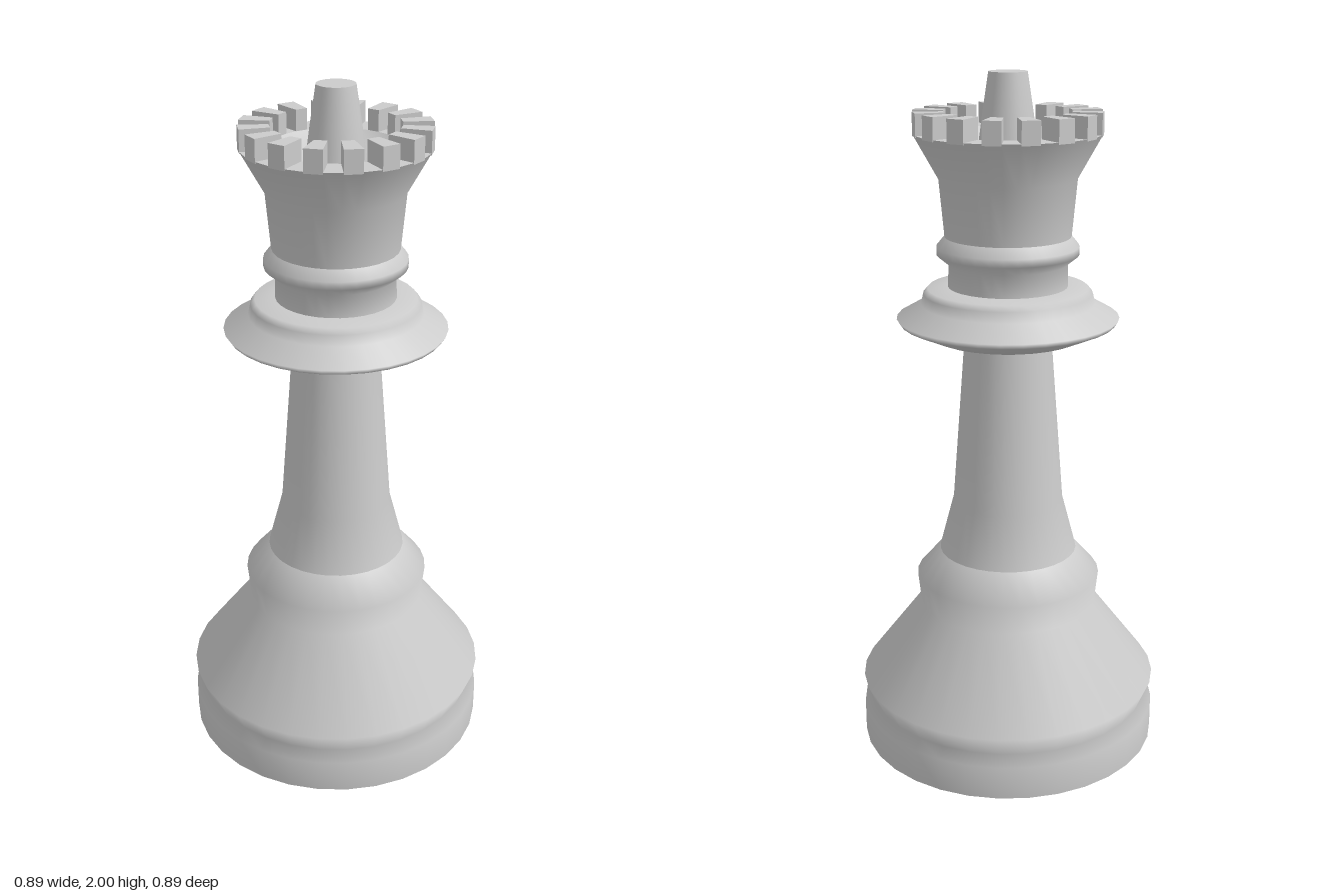
import * as THREE from 'three';

const SIDES = 32;
const TEETH = 16;

export function createModel() {
  const group = new THREE.Group();
  const material = new THREE.MeshStandardMaterial({ color: 0xcccccc });

  const add = (name, geometry, parent = group) => {
    const mesh = new THREE.Mesh(geometry, material);
    mesh.name = name;
    parent.add(mesh);
    return mesh;
  };
  // Turned part from [radius, height] pairs
  const turned = (name, profile) =>
    add(name, new THREE.LatheGeometry(profile.map(([r, y]) => new THREE.Vector2(r, y)), SIDES));

  // Foot: flat underside, plinth, groove and flared bell
  turned('underside', [[0, 0], [0.447, 0]]);
  turned('base', [
    [0.447, 0], [0.447, 0.1], [0.422, 0.13], [0.447, 0.19],
    [0.265, 0.43], [0.275, 0.52], [0.205, 0.6],
  ]);

  // Tapering stem
  turned('stem', [[0.205, 0.6], [0.163, 0.76], [0.127, 1.24]]);

  // Wide collar with a stepped top
  turned('collar', [
    [0.127, 1.24], [0.16, 1.243], [0.22, 1.26], [0.31, 1.3], [0.32, 1.315],
    [0.25, 1.355], [0.243, 1.385], [0.23, 1.4], [0.172, 1.405],
  ]);

  // Neck with a raised bead
  turned('neckBead', [
    [0.172, 1.405], [0.17, 1.47], [0.203, 1.497], [0.203, 1.52], [0.18, 1.548],
  ]);

  // Flaring crown, its rim and the bowl inside
  turned('crown', [[0.18, 1.548], [0.195, 1.71], [0.265, 1.835]]);
  turned('crownRim', [[0.265, 1.835], [0.18, 1.835]]);
  turned('crownBowl', [[0.18, 1.835], [0.14, 1.8], [0.085, 1.785]]);

  // Teeth: wedge blocks on every other side of the rim
  const teeth = new THREE.Group();
  teeth.name = 'crownTeeth';
  group.add(teeth);
  const step = (Math.PI * 2) / TEETH;
  for (let i = 0; i < TEETH; i++) {
    const tooth = new THREE.BoxGeometry(1, 1, 1);
    const p = tooth.attributes.position;
    for (let v = 0; v < p.count; v++) {
      const r = p.getX(v) > 0 ? 0.265 : 0.18;
      const y = p.getY(v) > 0 ? 1.895 : 1.83;
      const a = i * step + (p.getZ(v) > 0 ? 0 : -step / 2);
      p.setXYZ(v, r * Math.cos(a), y, r * Math.sin(a));
    }
    tooth.computeVertexNormals();
    add('crownTooth', tooth, teeth);
  }

  // Central tapered finial with a flat top
  turned('finial', [[0.085, 1.785], [0.07, 1.895], [0.054, 2]]);
  turned('finialTop', [[0.054, 2], [0, 2]]);

  return group;
}
